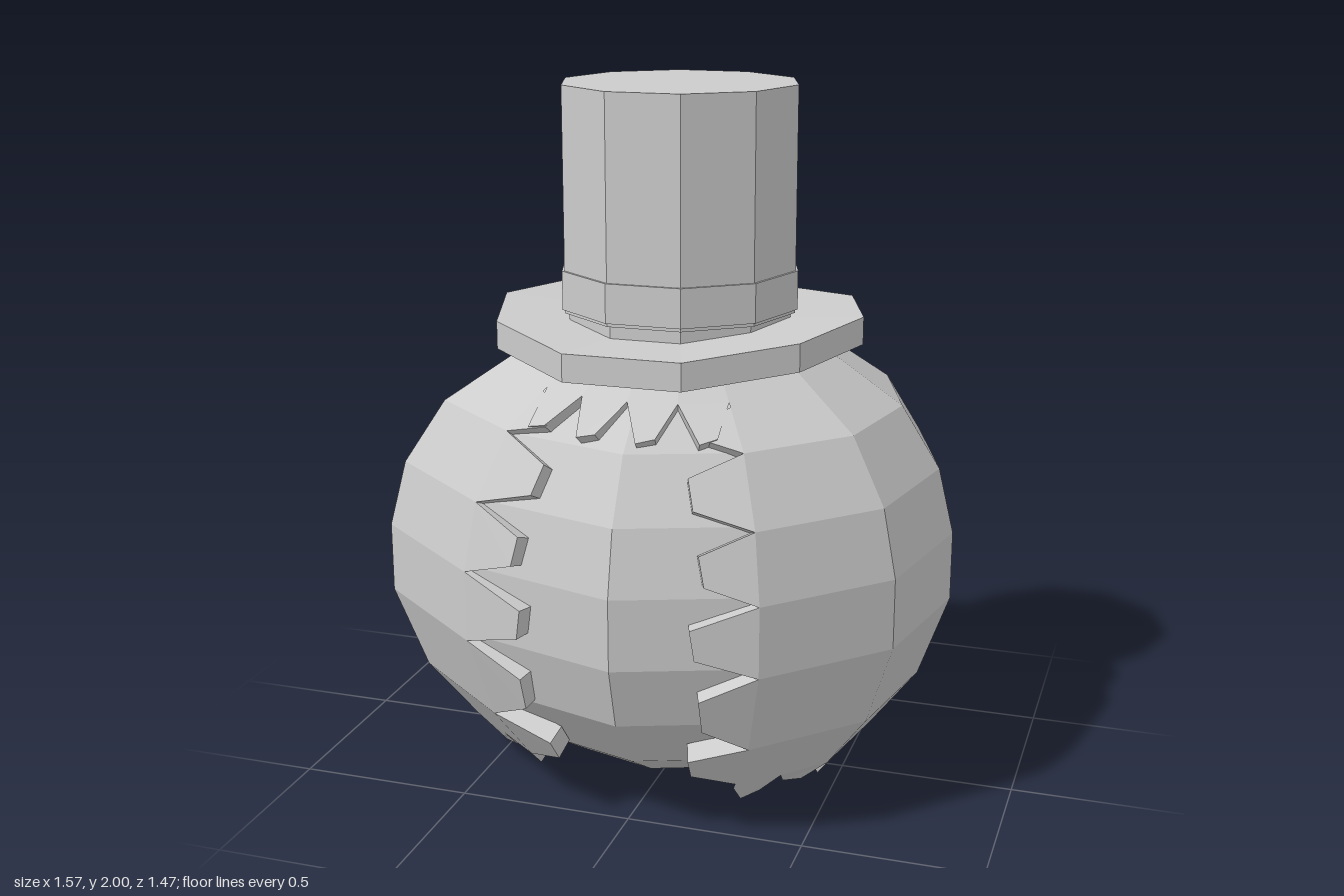
import * as THREE from 'three';

const material = new THREE.MeshStandardMaterial({ color: 0xcccccc, flatShading: true });

// Shell profile as [y, radius], top to bottom
const PROFILE = [[1.28, 0.39], [1.11, 0.63], [0.93, 0.74], [0.74, 0.785], [0.54, 0.785], [0.3, 0.7], [0.12, 0.56], [0.03, 0.47], [0, 0.4]];
// Shell columns around the back, from one side of the opening to the other: [degrees, radius scale, hem height]
const COLUMNS = [
  [124, 0.955, 0.14], [157, 1.08, 0.13], [186.5, 1.005, 0.13], [223, 1.005, 0.08], [257, 0.975, 0.04],
  [291, 0.985, 0.03], [323, 1.035, 0.06], [353.5, 1.005, 0.13], [385, 0.985, 0.13], [417, 0.955, 0.12],
];
const CENTRE = new THREE.Vector3(0, 0.65, 0);
const THICKNESS = 0.08;
const mix = THREE.MathUtils.lerp;

function radiusAt(y) {
  for (let i = 1; i < PROFILE.length; i++) {
    const [y0, r0] = PROFILE[i - 1], [y1, r1] = PROFILE[i];
    if (y >= y1) return mix(r0, r1, (y0 - y) / (y0 - y1));
  }
  return 0.4;
}

// Point on the shell surface
function onShell(degrees, y, scale = 0.955) {
  const a = THREE.MathUtils.degToRad(degrees), r = radiusAt(y) * scale;
  return new THREE.Vector3(r * Math.cos(a), y, r * Math.sin(a));
}

// Thick polygon; walls are made for edges from index firstWall on
function slab(out, points, firstWall) {
  const inner = points.map(p => p.clone().lerp(CENTRE, THICKNESS));
  const tri = (...v) => v.forEach(p => out.push(p.x, p.y, p.z));
  for (let i = 1; i < points.length - 1; i++) {
    tri(points[0], points[i], points[i + 1]);
    tri(inner[0], inner[i + 1], inner[i]);
  }
  for (let i = firstWall; i < points.length; i++) {
    const j = (i + 1) % points.length;
    tri(points[i], inner[i], inner[j]);
    tri(points[i], inner[j], points[j]);
  }
}

function shellGeometry() {
  const out = [];
  // Whole panels
  for (let c = 0; c < COLUMNS.length - 1; c++) {
    const [a0, k0, hem0] = COLUMNS[c], [a1, k1, hem1] = COLUMNS[c + 1];
    for (let r = 0; r < 6; r++) {
      const top = PROFILE[r][0], low = PROFILE[r + 1][0], last = r === 5;
      slab(out, [
        onShell(a0, last ? hem0 : low, k0), onShell(a0, top, k0),
        onShell(a1, top, k1), onShell(a1, last ? hem1 : low, k1),
      ], 4);
    }
    // Ragged teeth along the hem, two to a panel
    for (let t = 0; t < 2; t++) {
      const at = (f, drop) => {
        const u = (t + f) / 2;
        const top = onShell(a0, hem0, k0).lerp(onShell(a1, hem1, k1), u);
        if (drop) {
          top.x *= 0.9;
          top.z *= 0.9;
          top.y = Math.max(0.02, top.y - drop);
        }
        return top;
      };
      slab(out, [at(0, 0), at(1, 0), at(0.7, 0.05 + 0.02 * t), at(0.25, 0.06)], 1);
    }
  }
  // Teeth down both sides of the opening, notched at each row
  const rows = [1.2, 1.11, 0.93, 0.74, 0.54, 0.3, 0.14];
  for (let r = 0; r < rows.length - 1; r++) {
    const top = rows[r], low = rows[r + 1];
    const high = mix(top, low, 0.3), bottom = mix(top, low, 0.72);
    const reach = r === 0 ? 11 : 13 + (r % 2) * 2;
    slab(out, [onShell(417, low), onShell(417, top),
      onShell(417 + reach - 1, high, 0.94), onShell(417 + reach - 2, bottom, 0.94)], 1);
    slab(out, [onShell(124, top), onShell(124, low),
      onShell(124 - reach, bottom, 0.94), onShell(124 - reach - 1, high, 0.94)], 1);
  }
  // Strip and teeth above the opening
  const step = 67 / 4;
  for (let i = 0; i < 4; i++) {
    const a = 57 + i * step, b = a + step;
    slab(out, [onShell(a, 1.21), onShell(a, 1.28), onShell(b, 1.28), onShell(b, 1.21)], 4);
    slab(out, [onShell(a, 1.21), onShell(b, 1.21),
      onShell(mix(a, b, 0.65), 1.13), onShell(mix(a, b, 0.35), 1.14)], 1);
  }
  const geometry = new THREE.BufferGeometry();
  geometry.setAttribute('position', new THREE.Float32BufferAttribute(out, 3));
  geometry.computeVertexNormals();
  return geometry;
}

export function createModel() {
  const group = new THREE.Group();
  const add = (name, geometry) => {
    const mesh = new THREE.Mesh(geometry, material);
    mesh.name = name;
    group.add(mesh);
    return mesh;
  };

  // Ten-sided drum with a flat side to the front
  const drum = (name, radius, low, high) => {
    const geometry = new THREE.CylinderGeometry(radius, radius, high - low, 10, 1, false, Math.PI / 2);
    geometry.translate(-0.01, (low + high) / 2, -0.01);
    return add(name, geometry);
  };

  drum('neck', 0.338, 1.37, 2);
  drum('neckBand', 0.345, 1.38, 1.49);
  drum('neckFoot', 0.325, 1.3, 1.39);

  // Collar whose left and right sides bend upward
  const collar = drum('collar', 0.534, 1.257, 1.335);
  const pos = collar.geometry.attributes.position;
  for (let i = 0; i < pos.count; i++) {
    const lift = Math.max(0, Math.abs(pos.getX(i) + 0.01) - 0.17) * 0.1;
    pos.setY(i, pos.getY(i) + lift);
  }
  collar.geometry.computeVertexNormals();

  // Inner bulb seen through the opening and below the hem
  const bulb = [[0, 0.005], [0.2, 0.04], [0.34, 0.085], [0.53, 0.2], [0.67, 0.37], [0.725, 0.55],
    [0.725, 0.75], [0.68, 0.93], [0.58, 1.1], [0.38, 1.26], [0, 1.3]];
  add('bulb', new THREE.LatheGeometry(bulb.map(p => new THREE.Vector2(...p)), 10, 0.04));

  add('tornShell', shellGeometry());
  return group;
}
